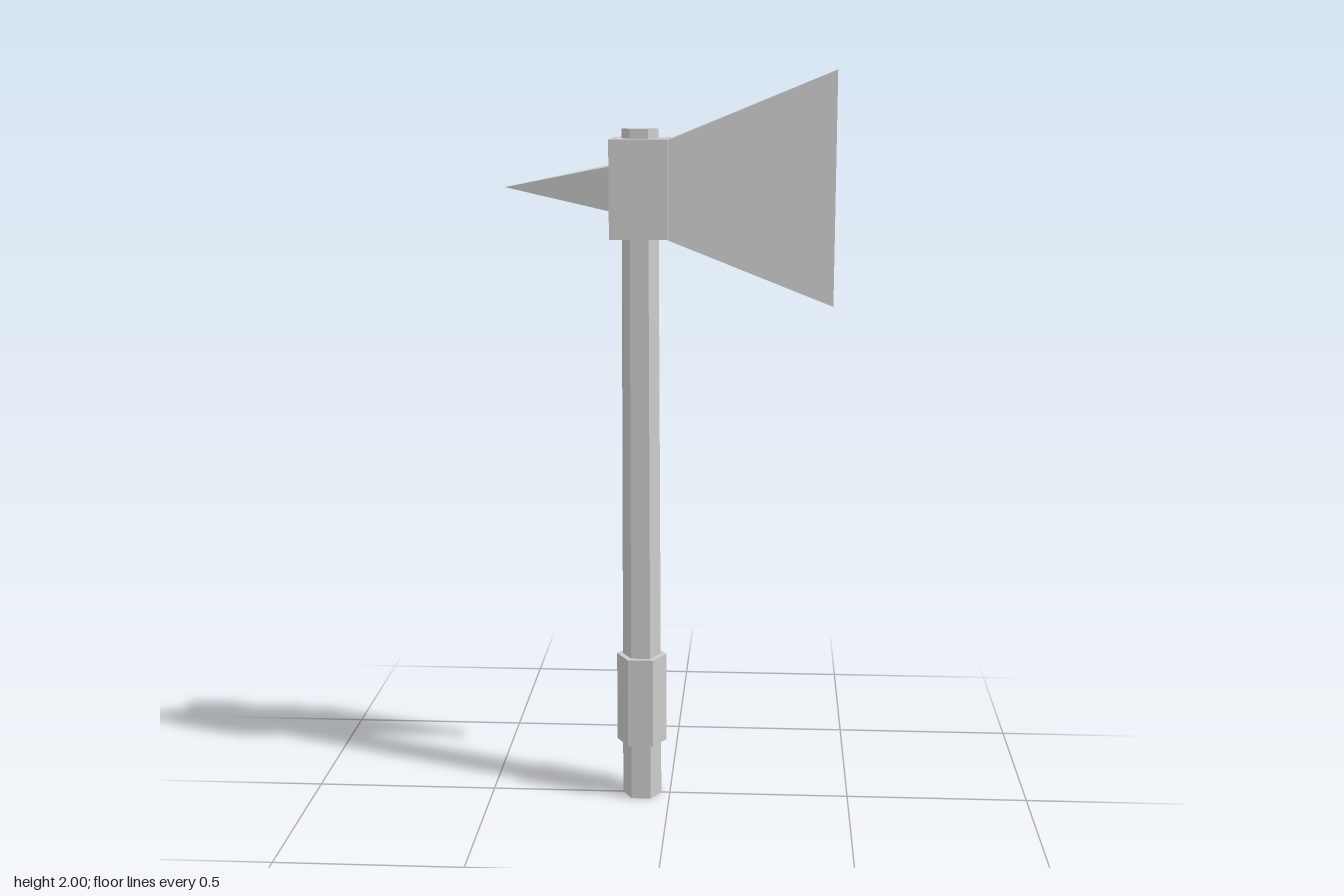
import * as THREE from 'three';

const HANDLE_X = -0.078;

export function createModel() {
  const group = new THREE.Group();
  group.name = 'axe';
  const steel = new THREE.MeshStandardMaterial({ color: 0xcccccc });
  steel.name = 'plain grey';

  function add(name, geometry) {
    const flat = geometry.index ? geometry.toNonIndexed() : geometry;
    flat.computeVertexNormals();
    const mesh = new THREE.Mesh(flat, steel);
    mesh.name = name;
    group.add(mesh);
  }

  // Six-sided rod with corners on the x axis
  function hexRod(name, rTop, rBottom, y0, y1) {
    const g = new THREE.CylinderGeometry(rTop, rBottom, y1 - y0, 6);
    g.rotateY(Math.PI / 2);
    g.translate(HANDLE_X, (y0 + y1) / 2, 0);
    add(name, g);
  }

  // Box whose two x ends have their own half height and half depth
  function taperedBlock(name, left, right, midY) {
    const g = new THREE.BoxGeometry(2, 2, 2);
    const p = g.attributes.position;
    for (let i = 0; i < p.count; i++) {
      const end = p.getX(i) < 0 ? left : right;
      p.setXYZ(i, end.x, midY + p.getY(i) * end.h, p.getZ(i) * end.d);
    }
    add(name, g);
  }

  // Handle and grip
  hexRod('handle', 0.048, 0.054, 0, 1.85);
  hexRod('grip', 0.069, 0.069, 0.16, 0.412);

  // Head block, flaring blade and rear spike
  taperedBlock('headBlock', { x: -0.153, h: 0.128, d: 0.09 }, { x: -0.002, h: 0.128, d: 0.09 }, 1.697);
  taperedBlock('blade', { x: -0.002, h: 0.128, d: 0.067 }, { x: 0.433, h: 0.306, d: 0.015 }, 1.694);
  taperedBlock('spike', { x: -0.433, h: 0.0005, d: 0.0005 }, { x: -0.153, h: 0.058, d: 0.058 }, 1.697);

  return group;
}
